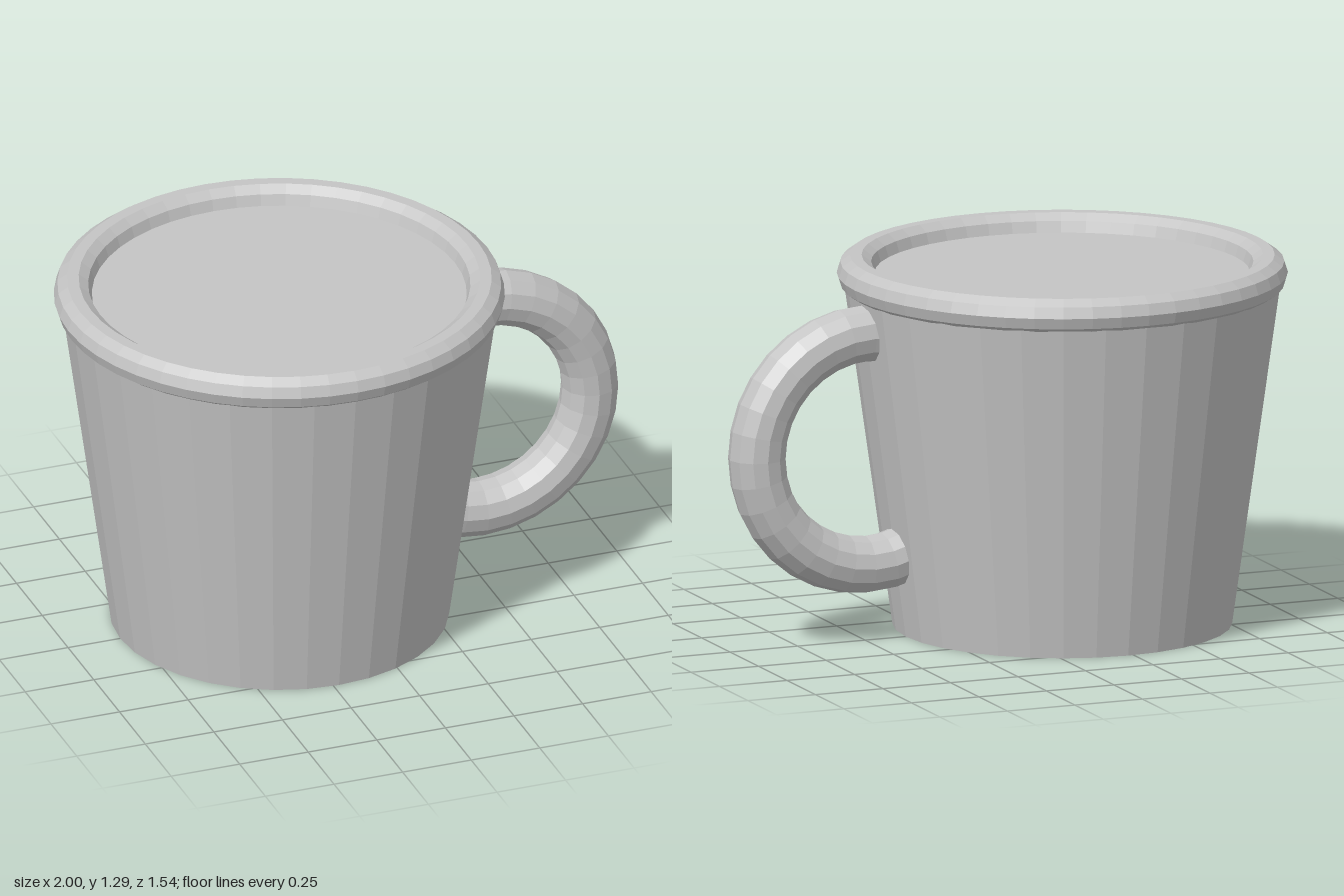
import * as THREE from 'three';

export function createModel() {
  const model = new THREE.Group();
  const grey = new THREE.MeshStandardMaterial({ color: 0xc4c4c4, flatShading: true });
  grey.name = 'grey';

  const cupX = -0.23;
  const fillY = 1.224;

  function add(name, geometry, x, y) {
    const mesh = new THREE.Mesh(geometry, grey);
    mesh.name = name;
    mesh.position.set(x, y, 0);
    model.add(mesh);
    return mesh;
  }

  // Tapered cup, closed top and bottom; its top face shows inside the rim
  add('cup', new THREE.CylinderGeometry(0.75, 0.58, fillY, 32), cupX, fillY / 2);

  // Rounded rim, ten facets around its section
  const rim = new THREE.TorusGeometry(0.705, 0.065, 10, 48);
  rim.rotateX(-Math.PI / 2);
  add('rim', rim, cupX, fillY);

  // Ring handle: the open ends run on into the cup wall
  const arc = Math.PI * 1.375;
  const handle = new THREE.TorusGeometry(0.403, 0.099, 12, 22, arc);
  handle.rotateZ(-arc / 2);
  add('handle', handle, 0.498, 0.668);

  return model;
}
